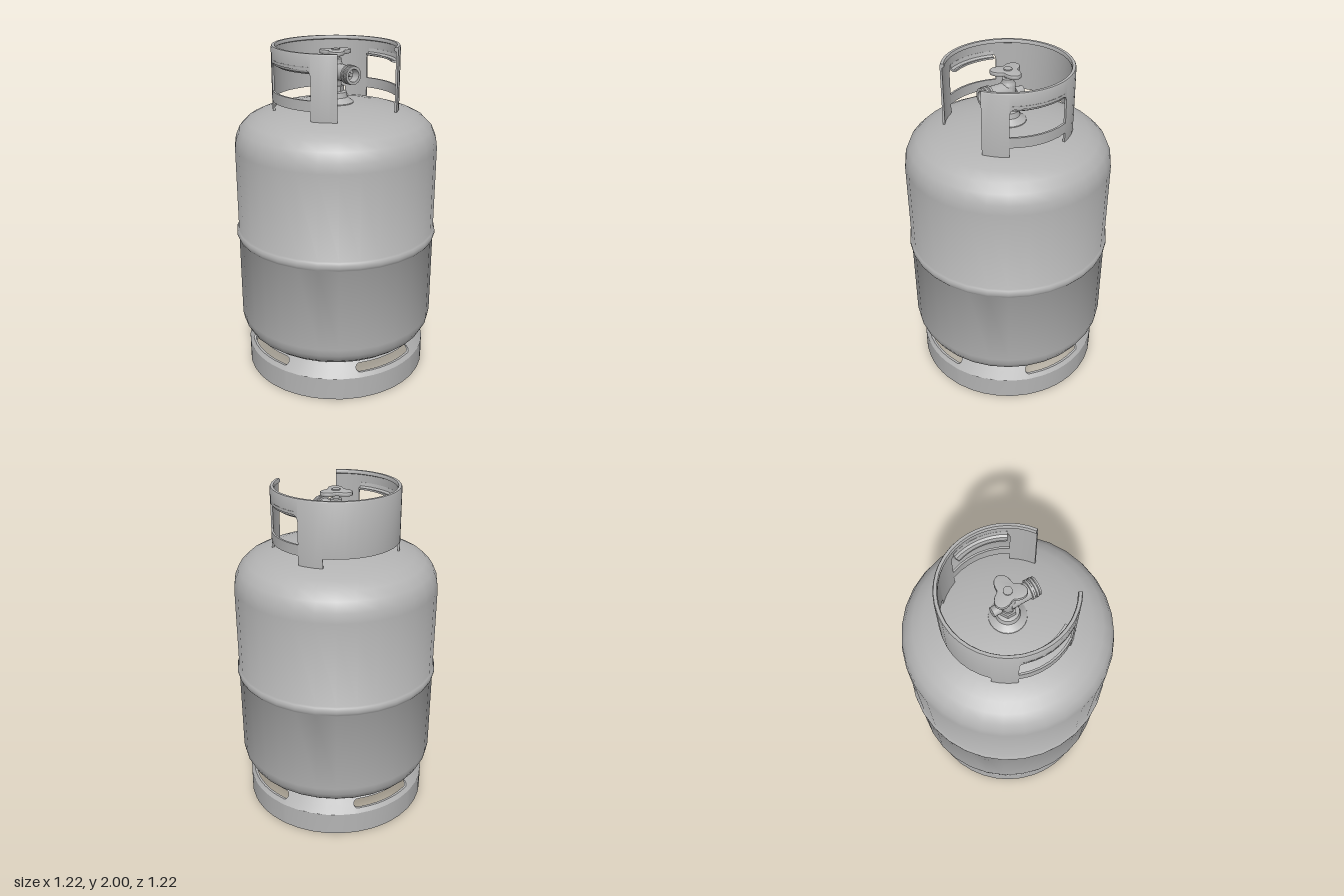
import * as THREE from 'three';
import { mergeGeometries, toCreasedNormals } from 'three/addons/utils/BufferGeometryUtils.js';

const DEG = Math.PI / 180;
const SIDES = 32;
const steel = new THREE.MeshStandardMaterial({ color: 0xb4b4b4 });
steel.name = 'grey steel';

function part(name, geometry, crease = 0.6) {
  const mesh = new THREE.Mesh(toCreasedNormals(geometry, crease), steel);
  mesh.name = name;
  return mesh;
}

function lathe(points, sides = SIDES) {
  return new THREE.LatheGeometry(points.map(([r, y]) => new THREE.Vector2(r, y)), sides);
}

// n + 1 evenly spaced angles
const steps = (a, b, n) => Array.from({ length: n + 1 }, (_, i) => a + ((b - a) * i) / n);

// Sweeps a closed (radius, height) section around the y axis; angle 0 is the front.
function sweep(angles, section) {
  const rows = angles.map((a) => section(a).map(([r, y]) => [r * Math.sin(a), y, r * Math.cos(a)]));
  const n = rows[0].length, last = rows.length - 1, out = [];
  const quad = (a, b, c, d) => out.push(...a, ...b, ...c, ...a, ...c, ...d);
  for (let i = 0; i < last; i++) {
    for (let j = 0; j < n; j++) {
      const k = (j + 1) % n;
      quad(rows[i][j], rows[i + 1][j], rows[i + 1][k], rows[i][k]);
    }
  }
  for (let k = 0; k < n / 2 - 1; k++) {
    const cap = (row) => [row[k], row[k + 1], row[n - 2 - k], row[n - 1 - k]];
    quad(...cap(rows[0]));
    quad(...cap(rows[last]).reverse());
  }
  const g = new THREE.BufferGeometry();
  g.setAttribute('position', new THREE.Float32BufferAttribute(out, 3));
  return g;
}

// Section of a thin wall through the given heights
function wall(heights, radius, thick) {
  const outer = heights.map((y) => [radius(y), y]);
  return [...outer, ...outer.map(([r, y]) => [r - thick, y]).reverse()];
}

// Pressure vessel with a bead around the middle
function vessel() {
  return part('vessel', lathe([
    [0, 0.13], [0.2, 0.145], [0.36, 0.18], [0.48, 0.218], [0.53, 0.24], [0.565, 0.27], [0.589, 0.315], [0.597, 0.36],
    [0.597, 0.86], [0.603, 0.868], [0.608, 0.882], [0.608, 0.898], [0.603, 0.912], [0.597, 0.92],
    [0.597, 1.42], [0.589, 1.475], [0.565, 1.53], [0.52, 1.575], [0.46, 1.605], [0.38, 1.63],
    [0.25, 1.655], [0.12, 1.667], [0, 1.67],
  ]), 0.9);
}

// Foot ring with four rounded slots in its sloping shoulder
function footRing() {
  const radius = (y) => 0.558 - 0.052 * Math.max(0, (y - 0.14) / 0.075);
  const mid = 0.1875, half = 0.0225, end = 0.387, round = 0.042, top = 0.222, thick = 0.014;
  const ends = [0, 0.003, 0.011, 0.024, round];
  const slotAngles = [...ends.map((e) => e - end), ...steps(-0.2, 0.2, 4), ...ends.map((e) => end - e).reverse()];
  const gap = (a) => {
    const d = Math.max(0, round - (end - Math.abs(a))) / round;
    return half * Math.sqrt(Math.max(0, 1 - d * d));
  };
  const pieces = [];
  for (let q = 0; q < 4; q++) {
    const turn = (q * Math.PI) / 2;
    const angles = slotAngles.map((a) => a + turn);
    pieces.push(
      sweep(angles, (a) => wall([0, 0.14, mid - gap(a - turn)], radius, thick)),
      sweep(angles, (a) => wall([mid + gap(a - turn), top], radius, thick)),
      sweep(steps(turn + end, turn + Math.PI / 2 - end, 5), () => wall([0, 0.14, mid, top], radius, thick)),
    );
  }
  return part('footRing', mergeGeometries(pieces));
}

// Guard collar: open at the front, a hand window each side, feet on the shoulder
function collar() {
  const front = 34 * DEG, w0 = 57 * DEG, w1 = 112.5 * DEG, foot = 135 * DEG;
  const radius = () => 0.368;
  const rim = (lo) => [
    [0.368, lo], [0.368, 1.992], [0.364, 2], [0.348, 2], [0.344, 1.992], [0.344, 1.98], [0.356, 1.975], [0.356, lo],
  ];
  const corner = 0.09;
  const windowTop = (a) => {
    const d = Math.max(0, corner - Math.min(Math.abs(a) - w0, w1 - Math.abs(a))) / corner;
    return 1.912 - 0.03 * (1 - Math.sqrt(Math.max(0, 1 - d * d)));
  };
  const pieces = [sweep(steps(foot, 2 * Math.PI - foot, 10), () => rim(1.69))];
  const lip = [
    [0.318, 1.895], [0.34, 1.888], [0.36, 1.9], [0.369, 1.93],
    [0.355, 1.93], [0.35, 1.91], [0.338, 1.9], [0.318, 1.906],
  ];
  for (const s of [1, -1]) {
    const arc = (a, b, n) => steps(s * a, s * b, n).sort((p, q) => p - q);
    const overWindow = [
      ...arc(w0, w0 + corner, 4), ...arc(w0 + corner, w1 - corner, 6), ...arc(w1 - corner, w1, 4),
    ].sort((p, q) => p - q).filter((a, i, all) => i === 0 || a - all[i - 1] > 1e-6);
    pieces.push(
      sweep(arc(front, w0, 3), () => rim(1.635)),
      sweep(arc(w1, foot, 3), () => rim(1.635)),
      sweep(overWindow, (a) => rim(windowTop(a))),
      sweep(arc(w0, w1, 6), () => wall([1.69, 1.75], radius, 0.012)),
      sweep(arc(w0 + 0.03, w1 - 0.05, 8), () => lip),
    );
  }
  return part('collar', mergeGeometries(pieces));
}

// Valve: neck, column, threaded outlet, relief stub and three-lobed handwheel
function valve() {
  const group = new THREE.Group();
  group.name = 'valve';

  group.add(part('neckFlange', lathe([
    [0.107, 1.655], [0.104, 1.672], [0.085, 1.685], [0.068, 1.7], [0.062, 1.73], [0.048, 1.735], [0, 1.735],
  ], 24)));
  const nut = part('valveNut', new THREE.CylinderGeometry(0.048, 0.048, 0.035, 6), 0.3);
  nut.position.y = 1.748;
  group.add(nut);
  group.add(part('valveColumn', lathe([
    [0.034, 1.75], [0.034, 1.79], [0.043, 1.805], [0.043, 1.885], [0.034, 1.9],
    [0.034, 1.92], [0.022, 1.924], [0.022, 1.95],
  ], 16)));

  // Outlet faces the front with a recessed bore
  const outlet = part('outlet', lathe([
    [0, 0], [0.047, 0], [0.047, 0.118], [0.055, 0.12], [0.055, 0.132], [0.049, 0.134], [0.049, 0.142],
    [0.055, 0.144], [0.055, 0.156], [0.049, 0.158], [0.052, 0.162], [0.052, 0.172],
    [0.036, 0.172], [0.034, 0.12], [0.012, 0.12], [0.012, 0.15], [0, 0.15],
  ], 20));
  outlet.rotation.x = Math.PI / 2;
  outlet.position.y = 1.847;
  group.add(outlet);

  const stub = part('reliefStub', lathe([
    [0, 0], [0.022, 0], [0.022, 0.045], [0.028, 0.047], [0.028, 0.095], [0.016, 0.098], [0, 0.098],
  ], 12));
  stub.rotation.x = -Math.PI / 2;
  stub.position.y = 1.82;
  group.add(stub);

  // One lobe points to +x
  const outline = steps(0, 2 * Math.PI, 48).slice(0, -1).map((t) => {
    const r = 0.071 + 0.023 * Math.cos(3 * t);
    return new THREE.Vector2(r * Math.cos(t), r * Math.sin(t));
  });
  const wheel = part('handwheel', new THREE.ExtrudeGeometry(new THREE.Shape(outline), {
    depth: 0.014, bevelThickness: 0.005, bevelSize: 0.006, bevelSegments: 2,
  }), 0.7);
  wheel.rotation.x = -Math.PI / 2;
  wheel.position.y = 1.95;
  group.add(wheel);
  const hub = part('wheelHub', new THREE.CylinderGeometry(0.024, 0.027, 0.03, 12));
  hub.position.y = 1.96;
  group.add(hub);
  return group;
}

export function createModel() {
  const model = new THREE.Group();
  model.name = 'gasCylinder';
  model.add(vessel(), footRing(), collar(), valve());
  return model;
}
